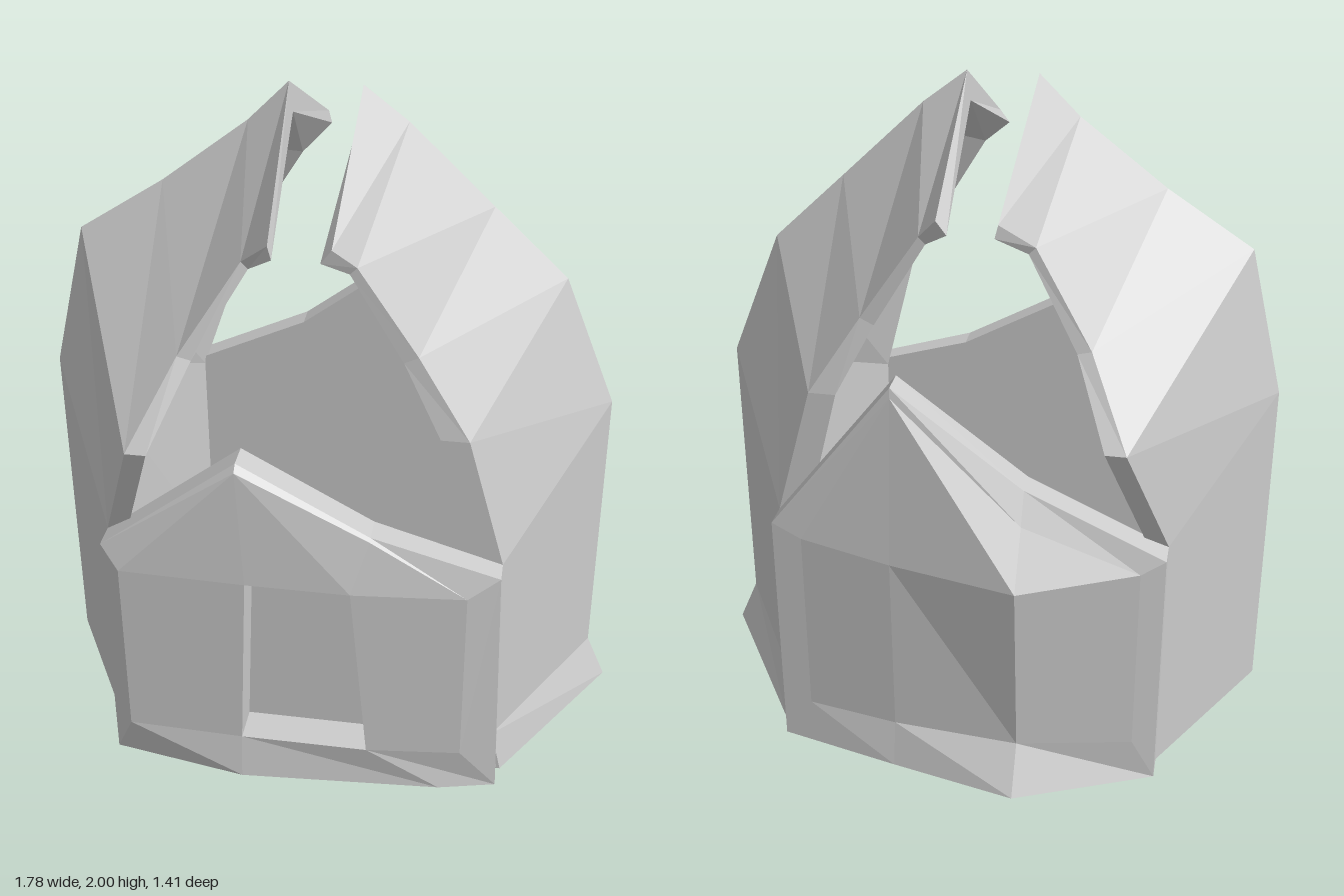
import * as THREE from 'three';

const MID_Z = 0.05; // plane about which the shells mirror front to back

// Joins rings of points (clockwise seen from the far end) into triangles.
function loft(rings) {
  const n = rings[0].length, tris = [];
  for (let r = 0; r + 1 < rings.length; r++) {
    for (let i = 0; i < n; i++) {
      const j = (i + 1) % n, p = rings[r], q = rings[r + 1];
      tris.push([p[i], q[i], q[j]], [p[i], q[j], p[j]]);
    }
  }
  return tris;
}

// Fills a ring lying roughly in an xy plane, facing +z (1) or -z (-1).
function fillRing(ring, facing) {
  const pts = ring.filter((p, i) => {
    const q = ring[(i + 1) % ring.length];
    return p[0] !== q[0] || p[1] !== q[1];
  });
  const flat = pts.map(p => new THREE.Vector2(p[0], p[1]));
  return THREE.ShapeUtils.triangulateShape(flat, []).map(f => {
    const area = THREE.ShapeUtils.area(f.map(k => flat[k]));
    const t = f.map(k => pts[k]);
    return area * facing > 0 ? t : t.reverse();
  });
}

function meshOf(name, tris, material) {
  const g = new THREE.BufferGeometry();
  g.setAttribute('position', new THREE.Float32BufferAttribute(tris.flat(2), 3));
  g.computeVertexNormals();
  const m = new THREE.Mesh(g, material);
  m.name = name;
  return m;
}

// Curved side shell. Row: ridge xy, ridge inside xy, edge xy + depth, edge inside xy.
function shell(name, rows, side, material) {
  const rings = rows.map(([rx, ry, ix, iy, ex, ey, d, jx, jy]) => {
    const ring = [
      [ex, ey, MID_Z + d], [rx, ry, MID_Z], [ex, ey, MID_Z - d],
      [jx, jy, MID_Z - d], [ix, iy, MID_Z], [jx, jy, MID_Z + d],
    ];
    return side > 0 ? ring.reverse() : ring;
  });
  const e = rings[rings.length - 1];
  const cap = [[5, 4, 1], [5, 1, 0], [4, 3, 2], [4, 2, 1]].map(t => t.map(k => e[k]));
  return meshOf(name, [...loft(rings), ...cap], material);
}

// Gable wall from nested rings: inner face, rim, face border, centre panel...
function wall(name, rings, material) {
  const tris = [...loft(rings), ...fillRing(rings[0], -1), ...fillRing(rings[rings.length - 1], 1)];
  return meshOf(name, tris, material);
}

// Centre panel ring: four corners spread over the eight points of a wall ring.
const panel = (bl, tl, tr, br) => [bl, tl, tl, tr, tr, br, br, bl];

export function createModel() {
  const model = new THREE.Group();
  const mat = new THREE.MeshStandardMaterial({ color: 0xcccccc, flatShading: true });

  // Side shells, from the ground up to the open crown
  model.add(shell('rightShell', [
    [-0.89, 0, -0.83, 0, -0.61, 0, 0.5, -0.55, 0],
    [-0.89, 1.05, -0.82, 1.03, -0.61, 0.78, 0.5, -0.55, 0.78],
    [-0.78, 1.51, -0.72, 1.45, -0.49, 1.15, 0.655, -0.43, 1.15],
    [-0.52, 1.68, -0.48, 1.61, -0.37, 1.38, 0.5, -0.33, 1.37],
    [-0.26, 1.88, -0.23, 1.8, -0.2, 1.64, 0.42, -0.18, 1.62],
    [-0.14, 2.0, -0.13, 1.91, -0.11, 1.73, 0.5, -0.1, 1.69],
  ], -1, mat));
  model.add(shell('leftShell', [
    [0.89, 0, 0.76, 0, 0.58, 0, 0.5, 0.46, 0],
    [0.83, 0.14, 0.76, 0.14, 0.55, 0.14, 0.5, 0.46, 0.14],
    [0.83, 1.05, 0.76, 1.03, 0.55, 0.78, 0.5, 0.46, 0.78],
    [0.67, 1.45, 0.61, 1.4, 0.44, 1.18, 0.5, 0.36, 1.18],
    [0.45, 1.66, 0.41, 1.6, 0.29, 1.41, 0.46, 0.25, 1.39],
    [0.2, 1.9, 0.17, 1.82, 0.12, 1.66, 0.45, 0.1, 1.64],
    [0.07, 2.0, 0.06, 1.91, 0.06, 1.73, 0.5, 0.03, 1.69],
  ], 1, mat));

  // Front wall with a recessed doorway
  const door = z => panel([-0.2, 0.14, z], [-0.175, 0.72, z], [0.13, 0.72, z], [0.18, 0.14, z]);
  model.add(wall('frontWall', [
    [[-0.61, 0, 0.55], [-0.61, 0.78, 0.55], [-0.2, 1.1, 0.55], [0.18, 0.89, 0.55],
      [0.55, 0.78, 0.55], [0.55, 0, 0.55], [0.18, 0, 0.55], [-0.2, 0, 0.55]],
    [[-0.61, 0, 0.63], [-0.61, 0.78, 0.63], [-0.2, 1.1, 0.63], [0.18, 0.89, 0.63],
      [0.55, 0.78, 0.62], [0.57, 0, 0.62], [0.4, 0, 0.66], [-0.2, 0, 0.7]],
    [[-0.55, 0.14, 0.67], [-0.55, 0.72, 0.67], [-0.2, 1.08, 0.65], [0.18, 0.88, 0.64],
      [0.46, 0.72, 0.65], [0.46, 0.14, 0.65], [0.18, 0.14, 0.68], [-0.2, 0.14, 0.68]],
    door(0.68),
    door(0.57),
  ], mat));

  // Back wall with a bulging panel, built facing +z and turned round
  const back = wall('backWall', [
    [[-0.55, 0, 0.55], [-0.55, 0.78, 0.55], [-0.18, 1.26, 0.55], [0.2, 0.97, 0.55],
      [0.61, 0.78, 0.55], [0.61, 0, 0.55], [0.2, 0, 0.55], [-0.18, 0, 0.55]],
    [[-0.55, 0, 0.63], [-0.55, 0.78, 0.63], [-0.18, 1.26, 0.63], [0.2, 0.97, 0.63],
      [0.61, 0.78, 0.63], [0.61, 0, 0.63], [0.2, 0, 0.805], [-0.18, 0, 0.72]],
    [[-0.46, 0.14, 0.64], [-0.46, 0.74, 0.64], [-0.18, 1.23, 0.635], [0.2, 0.88, 0.68],
      [0.54, 0.74, 0.65], [0.54, 0.14, 0.65], [0.2, 0.14, 0.72], [-0.18, 0.14, 0.69]],
    panel([-0.18, 0.14, 0.69], [-0.18, 0.72, 0.7], [0.2, 0.72, 0.785], [0.2, 0.14, 0.72]),
  ], mat);
  back.rotation.y = Math.PI;
  back.position.z = 2 * MID_Z;
  model.add(back);

  // Floor slab
  const outline = [[-0.87, 0.05], [-0.6, 0.55], [0.57, 0.55], [0.87, 0.05], [0.57, -0.45], [-0.6, -0.45]];
  const shape = new THREE.Shape(outline.map(([x, z]) => new THREE.Vector2(x, -z)));
  const slab = new THREE.ExtrudeGeometry(shape, { depth: 0.02, bevelEnabled: false });
  slab.rotateX(-Math.PI / 2);
  const floor = new THREE.Mesh(slab, mat);
  floor.name = 'floor';
  model.add(floor);

  return model;
}
